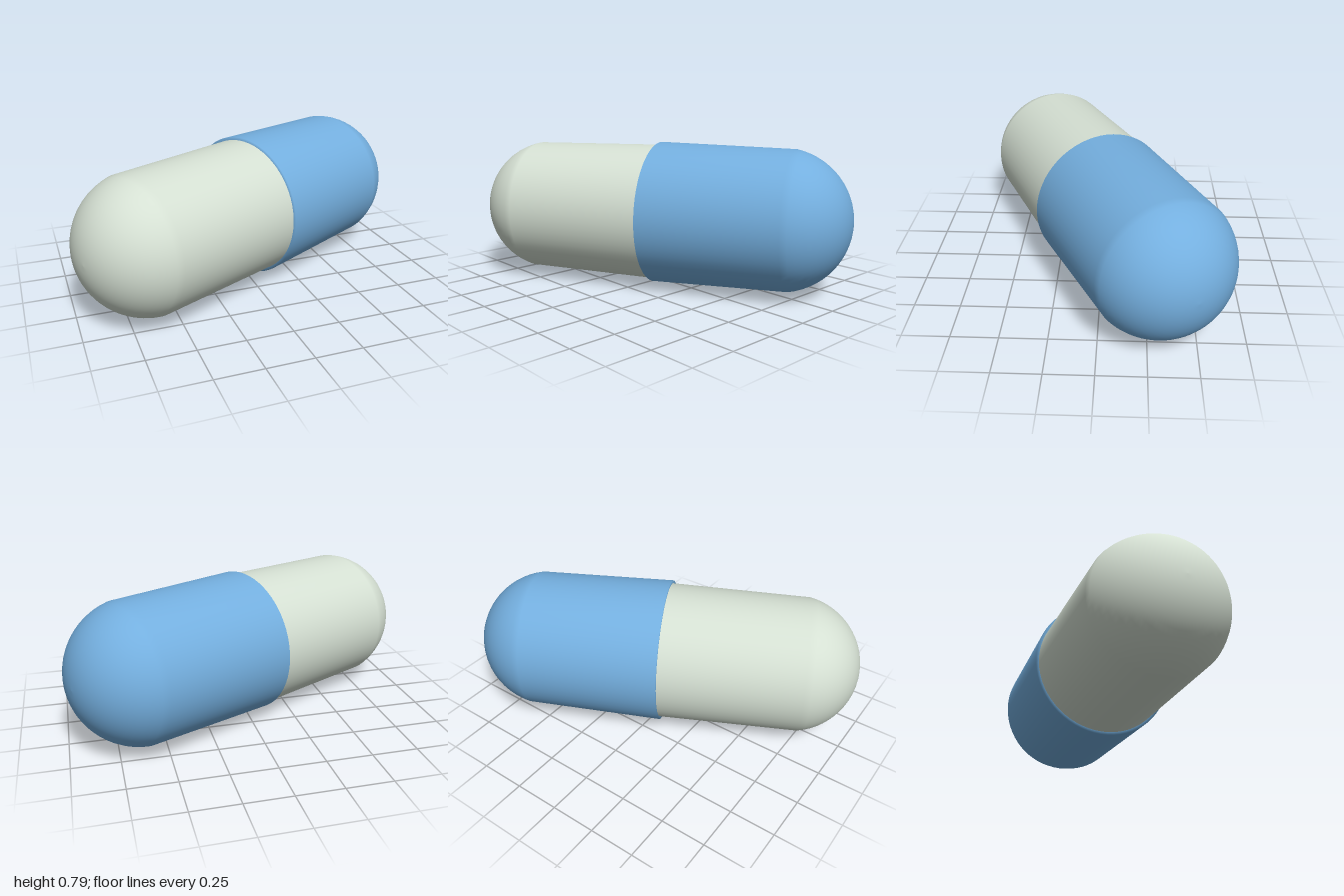
import * as THREE from 'three';

// Round dome as profile points, from the joint angle to the tip (dir = +1 up, -1 down)
function dome(radius, centre, dir, rings = 14) {
  const points = [];
  const start = Math.PI / 16;
  for (let i = 0; i <= rings; i++) {
    const a = start + (Math.PI / 2 - start) * (i / rings);
    const r = i === rings ? 0 : radius * Math.cos(a);
    points.push(new THREE.Vector2(r, dir * (centre + radius * Math.sin(a))));
  }
  return points;
}

function shell(name, profile, color) {
  const material = new THREE.MeshStandardMaterial({ color, side: THREE.DoubleSide });
  const mesh = new THREE.Mesh(new THREE.LatheGeometry(profile, 64), material);
  mesh.name = name;
  return mesh;
}

export function createModel() {
  const capsule = new THREE.Group();
  capsule.name = 'capsule';

  // Wider half: a lip at the seam, a slightly tapered wall, then the dome
  const cap = [
    new THREE.Vector2(0.37, 0),
    new THREE.Vector2(0.397, 0),
    ...dome(0.388, 0.68, 1),
  ];
  capsule.add(shell('capHalf', cap, 0x74afdf));

  // Narrower half: dome and wall, tucked just inside the wider half
  const body = [
    ...dome(0.38, 0.693, -1).reverse(),
    new THREE.Vector2(0.381, 0.02),
  ];
  capsule.add(shell('bodyHalf', body, 0xd5e0d3));

  // Lay the capsule down, turned diagonally
  const axis = new THREE.Vector3(0.898, 0.0066, -0.44).normalize();
  capsule.quaternion.setFromUnitVectors(new THREE.Vector3(0, 1, 0), axis);
  capsule.position.y = 0.402;

  const model = new THREE.Group();
  model.name = 'pill';
  model.add(capsule);
  return model;
}
